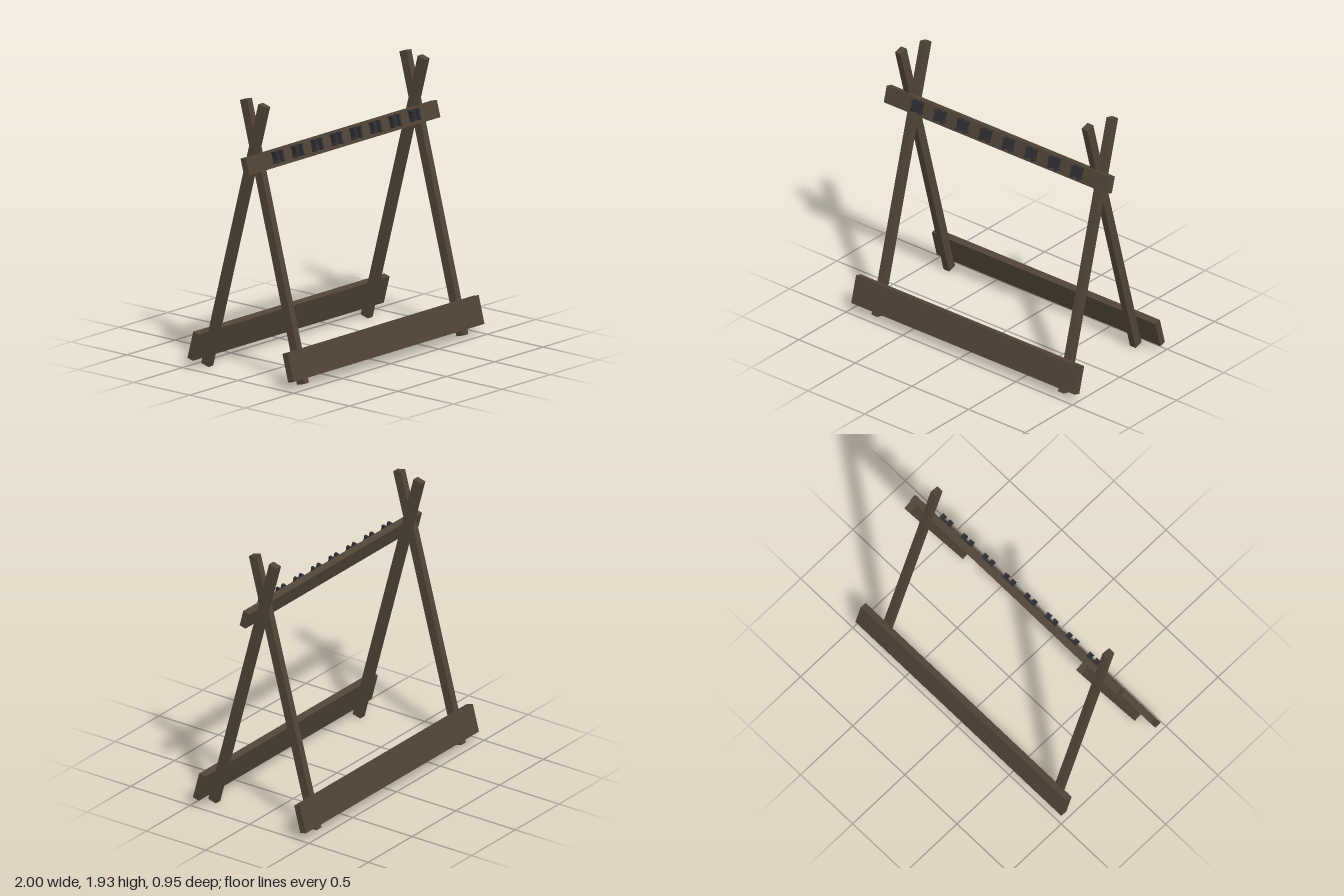
import * as THREE from 'three';

const TILT = THREE.MathUtils.degToRad(15);

export function createModel() {
  const wood = new THREE.MeshStandardMaterial({ color: 0x504436 });
  wood.name = 'dark wood';
  const rubber = new THREE.MeshStandardMaterial({ color: 0x2d2e31 });
  rubber.name = 'black rubber';

  const model = new THREE.Group();
  model.name = 'rack';

  // Box leaning about the x axis; lean is -1 for front parts, +1 for back parts
  function beam(name, size, position, lean) {
    const mesh = new THREE.Mesh(new THREE.BoxGeometry(...size), wood);
    mesh.name = name;
    mesh.position.set(...position);
    mesh.rotation.x = lean * TILT;
    model.add(mesh);
  }

  // Crossed legs and the low board on each side
  for (const [side, sign, legXs] of [['front', 1, [-0.8, 0.848]], ['back', -1, [-0.848, 0.8]]]) {
    for (const x of legXs) {
      beam(`${side}${x > 0 ? 'Left' : 'Right'}Leg`, [0.05, 1.978, 0.066], [x, 0.965, sign * 0.153], -sign);
    }
    beam(`${side}LowerBoard`, [1.975, 0.2, 0.05], [0.0125, 0.16, sign * 0.426], -sign);
  }

  // Upper rail lying on the front legs
  beam('upperRail', [1.975, 0.12, 0.05], [-0.0125, 1.512, 0.062], -1);

  // Holders along the rail: a back plate with two waisted prongs
  const prongShape = new THREE.Shape([
    [0.022, -0.04], [0.042, -0.04], [0.042, -0.03], [0.037, -0.023],
    [0.037, 0.023], [0.042, 0.03], [0.042, 0.04], [0.022, 0.04],
  ].map(([x, y]) => new THREE.Vector2(x, y)));
  const prongGeometry = new THREE.ExtrudeGeometry(prongShape, { depth: 0.04, bevelEnabled: false });
  const plateGeometry = new THREE.BoxGeometry(0.05, 0.078, 0.016);

  const holders = new THREE.Group();
  holders.name = 'holders';
  holders.position.set(0, 1.512, 0.062);
  holders.rotation.x = -TILT;
  for (let i = 0; i < 8; i++) {
    const holder = new THREE.Group();
    holder.name = `holder${i + 1}`;
    holder.position.set(-0.704 + i * 0.2014, 0.008, 0.025);
    const plate = new THREE.Mesh(plateGeometry, rubber);
    plate.name = 'holderPlate';
    plate.position.z = 0.008;
    holder.add(plate);
    for (const turn of [0, Math.PI]) {
      const prong = new THREE.Mesh(prongGeometry, rubber);
      prong.name = 'holderProng';
      prong.rotation.z = turn;
      holder.add(prong);
    }
    holders.add(holder);
  }
  model.add(holders);
  return model;
}
